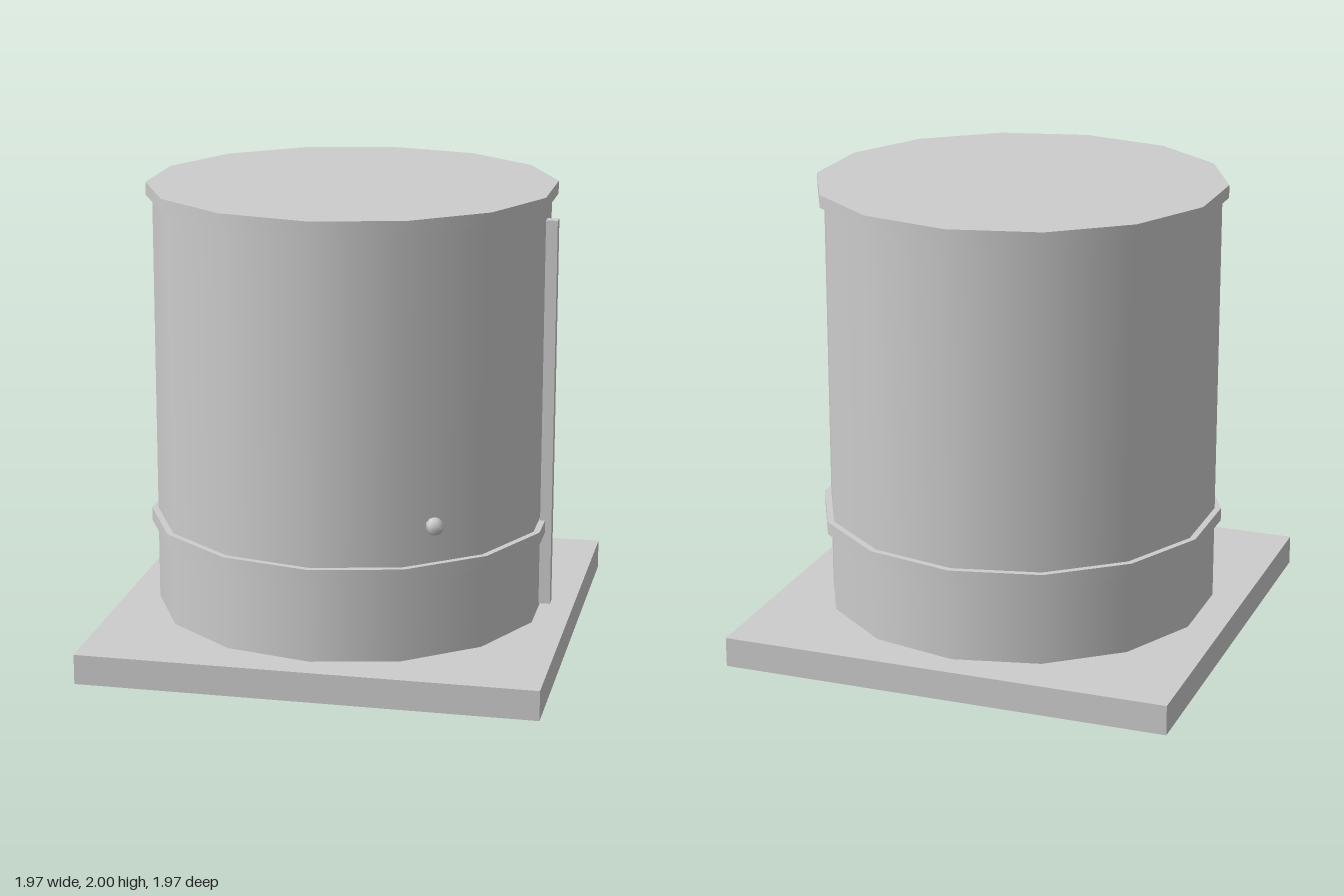
import * as THREE from 'three';

export function createModel() {
  const model = new THREE.Group();
  const grey = new THREE.MeshStandardMaterial({ color: 0xcccccc });
  grey.name = 'light grey';

  const add = (name, geometry, x, y, z) => {
    const mesh = new THREE.Mesh(geometry, grey);
    mesh.name = name;
    mesh.position.set(x, y, z);
    model.add(mesh);
  };
  // Smooth-shaded fourteen-sided drum between two heights
  const drum = (name, radius, bottom, top) =>
    add(name, new THREE.CylinderGeometry(radius, radius, top - bottom, 14), 0, (bottom + top) / 2, 0);

  // Square plinth and tank
  add('base', new THREE.BoxGeometry(1.97, 0.13, 1.97), 0, 0.065, 0);
  drum('tankBody', 0.857, 0.13, 1.99);

  // Raised bands
  drum('lowerBand', 0.885, 0.485, 0.542);
  drum('topRim', 0.885, 1.945, 2);

  // Upright gauge strip on the left side
  add('gaugeStrip', new THREE.BoxGeometry(0.05, 1.71, 0.05), 0.866, 1.015, 0);

  // Small knob on the front
  add('knob', new THREE.SphereGeometry(0.039, 6, 5), 0.502, 0.715, 0.73);

  return model;
}
